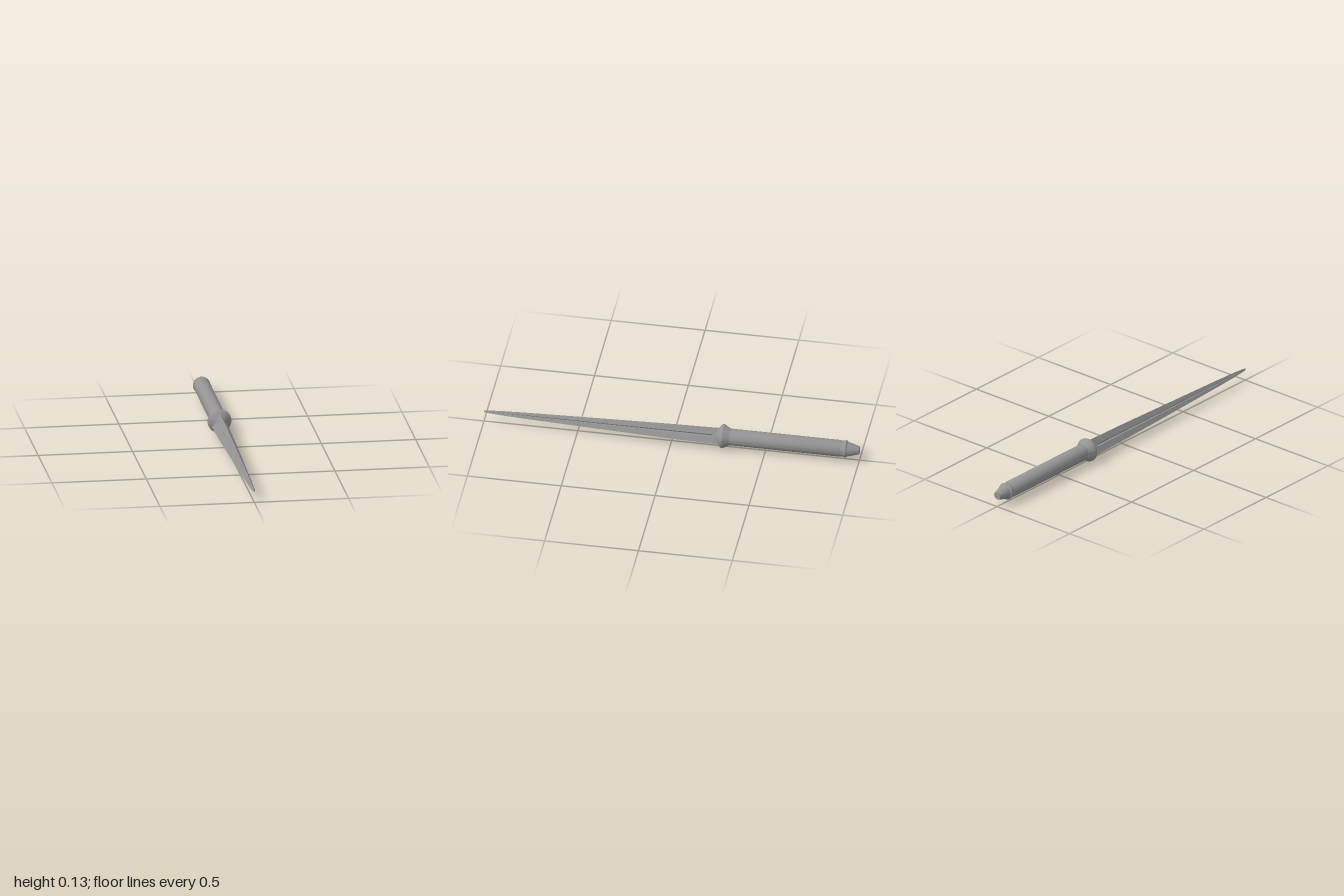
import * as THREE from 'three';
import { toCreasedNormals } from 'three/addons/utils/BufferGeometryUtils.js';

const AXIS_Y = 0.063;
const material = new THREE.MeshStandardMaterial({ color: 0x949494 });

// Turned part along z from [radius, z] pairs, running back to front
function turned(name, profile) {
  const points = profile.map(([r, z]) => new THREE.Vector2(r, z));
  const geometry = new THREE.LatheGeometry(points, 48).rotateX(Math.PI / 2);
  const mesh = new THREE.Mesh(toCreasedNormals(geometry, 0.45), material);
  mesh.name = name;
  return mesh;
}

// Three-sided section with a V groove along the middle of every side
function bladeSection(radius, z, grooveWidth, grooveDepth) {
  const ring = [];
  const inner = radius / 2;
  for (let i = 0; i < 3; i++) {
    const a = Math.PI / 2 + (i * Math.PI * 2) / 3;
    const m = a + Math.PI / 3;
    const place = (d, t) => ring.push([
      Math.cos(m) * d - Math.sin(m) * t, Math.sin(m) * d + Math.cos(m) * t, z]);
    ring.push([Math.cos(a) * radius, Math.sin(a) * radius, z]);
    place(inner, -grooveWidth);
    place(inner - grooveDepth, 0);
    place(inner, grooveWidth);
  }
  return ring;
}

function buildBlade() {
  // z, corner radius, groove half width, groove depth
  const sections = [
    [-0.265, 0.051, 0.006, 0],
    [-0.22, 0.05, 0.006, 0],
    [-0.215, 0.05, 0.006, 0.008],
    [0, 0.045, 0.0055, 0.0075],
    [0.4, 0.032, 0.004, 0.0055],
    [0.75, 0.02, 0.0025, 0.0035],
    [0.9, 0.0135, 0.001, 0.001],
    [0.98, 0.008, 0.0005, 0],
    [1, 0.005, 0.0005, 0],
  ].map(([z, r, w, d]) => bladeSection(r, z, w, d));
  const n = sections[0].length;
  const index = [];
  for (let s = 0; s < sections.length - 1; s++) {
    for (let i = 0; i < n; i++) {
      const a = s * n + i, b = s * n + ((i + 1) % n);
      index.push(a, b, b + n, a, b + n, a + n);
    }
  }
  // Close both ends
  const last = (sections.length - 1) * n;
  for (let i = 1; i < n - 1; i++) {
    index.push(0, i + 1, i, last, last + i, last + i + 1);
  }
  const geometry = new THREE.BufferGeometry();
  geometry.setAttribute('position', new THREE.Float32BufferAttribute(sections.flat(2), 3));
  geometry.setIndex(index);
  const mesh = new THREE.Mesh(toCreasedNormals(geometry, 0.35), material);
  mesh.name = 'blade';
  return mesh;
}

export function createModel() {
  const group = new THREE.Group();
  group.name = 'dagger';
  group.add(
    // Tapered end with a beaded collar and a neck
    turned('pommel', [
      [0, -1], [0.02, -1], [0.023, -0.995], [0.039, -0.937], [0.045, -0.932],
      [0.046, -0.926], [0.044, -0.92], [0.042, -0.918], [0.042, -0.898], [0, -0.898],
    ]),
    // Plain round handle
    turned('grip', [
      [0, -0.902], [0.042, -0.902], [0.044, -0.897], [0.044, -0.3], [0, -0.3],
    ]),
    // Flared collar with a shallow conical face towards the blade
    turned('guard', [
      [0, -0.312], [0.045, -0.312], [0.047, -0.305], [0.062, -0.28],
      [0.063, -0.277], [0.063, -0.269], [0.062, -0.266],
      [0.055, -0.258], [0.03, -0.237], [0, -0.226],
    ]),
    buildBlade(),
  );
  group.children.forEach((part) => { part.position.y = AXIS_Y; });
  return group;
}
